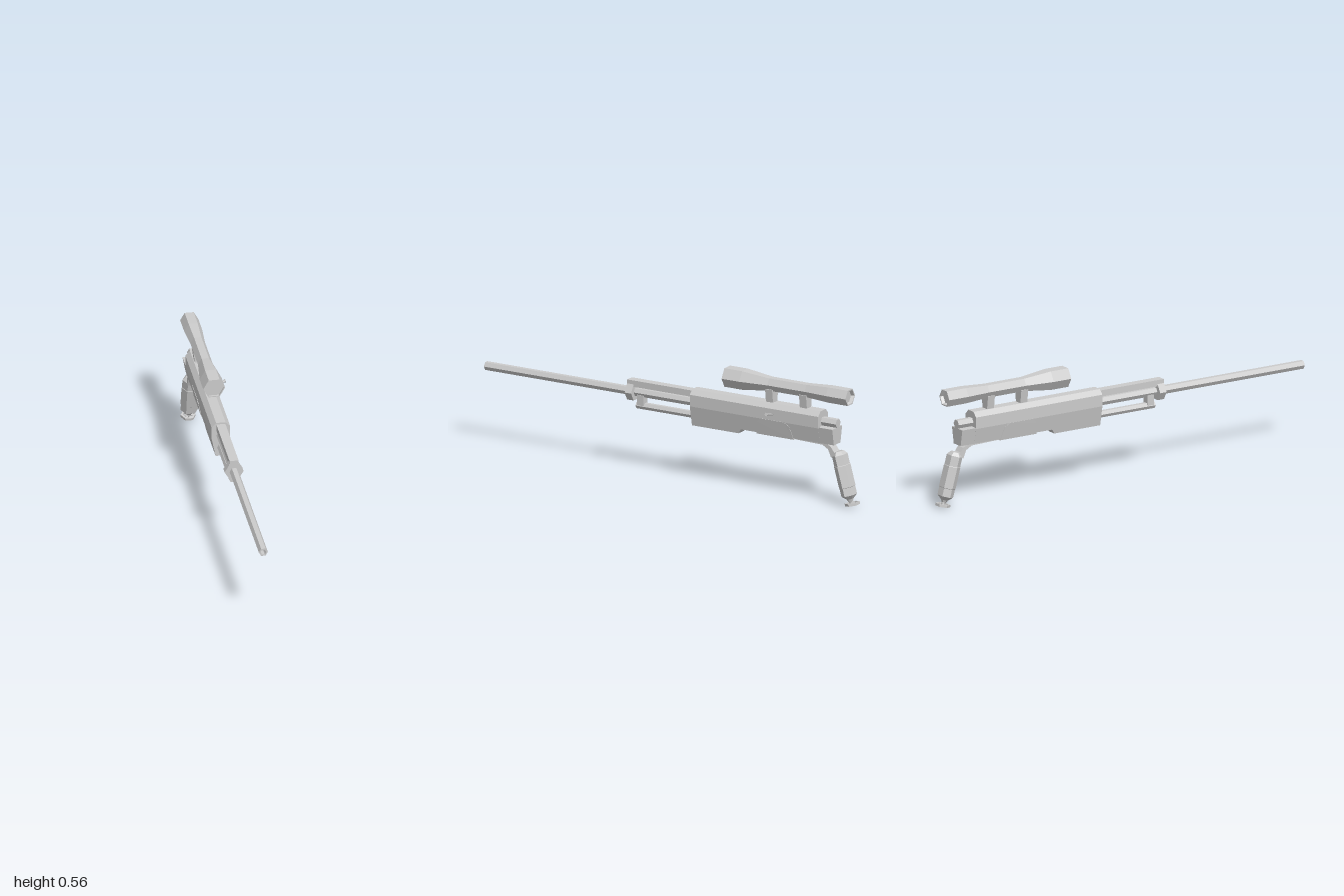
import * as THREE from 'three';

const mat = new THREE.MeshStandardMaterial({ color: 0xcccccc, flatShading: true, side: THREE.DoubleSide });

function add(parent, name, geometry, x = 0, y = 0, z = 0) {
  const mesh = new THREE.Mesh(geometry, mat);
  mesh.name = name;
  mesh.position.set(x, y, z);
  parent.add(mesh);
  return mesh;
}

// Six-sided turned form; profile is [radius, height] from bottom to top, corners on the x axis
function hexLathe(profile) {
  return new THREE.LatheGeometry(profile.map(([r, h]) => new THREE.Vector2(r, h)), 6, Math.PI / 2);
}

// The same, laid along z (heights become z)
const hexAlongZ = (profile) => hexLathe(profile).rotateX(Math.PI / 2);

// Side outline in [z, y], extruded symmetrically across x
function sideExtrude(points, width) {
  const shape = new THREE.Shape(points.map(([z, y]) => new THREE.Vector2(z, y)));
  return new THREE.ExtrudeGeometry(shape, { depth: width, bevelEnabled: false })
    .translate(0, 0, -width / 2).rotateY(-Math.PI / 2);
}

// Skin convex rings (counter-clockwise from the front) listed by increasing z
function loft(sections) {
  const n = sections[0].ring.length;
  const pos = sections.flatMap(({ z, ring }) => ring.flatMap(([x, y]) => [x, y, z]));
  const idx = [];
  for (let i = 0; i < sections.length - 1; i++) {
    for (let j = 0; j < n; j++) {
      const a = i * n + j, b = i * n + (j + 1) % n;
      idx.push(a, b, b + n, a, b + n, a + n);
    }
  }
  const last = (sections.length - 1) * n;
  for (let j = 1; j < n - 1; j++) {
    idx.push(last, last + j, last + j + 1, 0, j + 1, j);
  }
  const g = new THREE.BufferGeometry();
  g.setAttribute('position', new THREE.Float32BufferAttribute(pos, 3));
  g.setIndex(idx);
  const flat = g.toNonIndexed();
  flat.computeVertexNormals();
  return flat;
}

// Half width of the tapering lower body at height y
const lowerHalf = (y) => 0.024 + (Math.min(y, 0.36) - 0.263) * 0.2;

// Mirror a right-hand outline (bottom to top) into a full ring
const mirrorRing = (half) => [...half, ...half.slice().reverse().map(([x, y]) => [-x, y])];

export function createModel() {
  const root = new THREE.Group();
  const rifle = new THREE.Group();
  rifle.name = 'rifle';
  rifle.position.x = -0.026;
  root.add(rifle);

  // Barrel with open muzzle
  add(rifle, 'barrel', hexAlongZ([[0, -0.15], [0.021, -0.15], [0.021, 1], [0.014, 1], [0.014, 0.96], [0, 0.96]]), 0, 0.372, 0);

  // Collar, upper rail, lower tube and its bracket
  add(rifle, 'barrelCollar', hexAlongZ([[0, 0.195], [0.044, 0.195], [0.044, 0.23], [0, 0.23]]), 0, 0.372, 0);
  add(rifle, 'upperRail', new THREE.BoxGeometry(0.042, 0.03, 0.36), 0, 0.414, 0.05);
  add(rifle, 'lowerTube', hexAlongZ([[0, -0.15], [0.017, -0.15], [0.017, 0.188], [0, 0.188]]), 0, 0.31, 0);
  add(rifle, 'tubeBracket', new THREE.BoxGeometry(0.034, 0.05, 0.035), 0, 0.338, 0.162);

  // Receiver: chamfered top, tapering belly, deeper at the front
  const bodyRing = (bottom) => mirrorRing([
    [lowerHalf(bottom), bottom], [0.0435, 0.36], [0.0435, 0.415], [0.022, 0.437],
  ]);
  add(rifle, 'receiver', loft([
    { z: -0.81, ring: bodyRing(0.287) },
    { z: -0.385, ring: bodyRing(0.287) },
    { z: -0.37, ring: bodyRing(0.265) },
    { z: -0.12, ring: bodyRing(0.265) },
  ]));
  const tailRing = mirrorRing([[lowerHalf(0.287), 0.287], [0.0435, 0.365]]);
  add(rifle, 'receiverTail', loft([{ z: -0.885, ring: tailRing }, { z: -0.8, ring: tailRing }]));
  add(rifle, 'boltEnd', hexAlongZ([[0, -0.89], [0.022, -0.89], [0.022, -0.8], [0, -0.8]]), 0, 0.386, 0);

  // Raised side panels that follow the taper of the body
  const panel = sideExtrude([
    [-0.67, 0.281], [-0.47, 0.281], [-0.48, 0.34], [-0.5, 0.361], [-0.625, 0.361], [-0.65, 0.345],
  ], 2);
  const p = panel.attributes.position;
  for (let i = 0; i < p.count; i++) p.setX(i, Math.sign(p.getX(i)) * (lowerHalf(p.getY(i)) + 0.002));
  panel.computeVertexNormals();
  add(rifle, 'sidePanels', panel);

  // Bolt handle, on the left side only
  const handle = new THREE.Group();
  handle.name = 'boltHandle';
  handle.position.set(0.04, 0.388, -0.565);
  handle.rotation.z = -Math.PI / 2 + 0.25;
  add(handle, 'handleRod', new THREE.CylinderGeometry(0.004, 0.004, 0.06, 6), 0, 0.028, 0);
  add(handle, 'handleKnob', new THREE.CylinderGeometry(0.009, 0.006, 0.01, 6), 0, 0.057, 0);
  rifle.add(handle);

  // Scope with recessed lenses at both ends
  add(rifle, 'scope', hexAlongZ([
    [0, -0.94], [0.031, -0.94], [0.036, -0.955], [0.042, -0.955], [0.042, -0.85], [0.034, -0.73],
    [0.034, -0.53], [0.051, -0.39], [0.051, -0.295], [0.046, -0.295], [0.046, -0.305], [0, -0.305],
  ]), 0, 0.52, 0);

  // Flared scope mounts
  for (const z of [-0.533, -0.715]) {
    const mount = new THREE.BoxGeometry(0.036, 0.068, 0.038);
    const m = mount.attributes.position;
    for (let i = 0; i < m.count; i++) if (m.getY(i) > 0) m.setX(i, m.getX(i) * 1.5);
    mount.computeVertexNormals();
    add(rifle, 'scopeMount', mount, 0, 0.465, z);
  }

  // Bent strap joining the body to the grip
  add(rifle, 'gripStrap', sideExtrude([
    [-0.67, 0.29], [-0.67, 0.283], [-0.82, 0.279], [-0.85, 0.262], [-0.866, 0.225],
    [-0.905, 0.235], [-0.88, 0.255], [-0.865, 0.275], [-0.84, 0.29],
  ], 0.046));

  // Raked hexagonal grip with a sleeve and pointed foot
  const grip = new THREE.Group();
  grip.name = 'grip';
  grip.position.set(0, 0.14, -0.926);
  grip.rotation.x = 0.27;
  grip.scale.z = 0.86;
  add(grip, 'gripBody', hexLathe([
    [0, -0.128], [0.008, -0.126], [0.018, -0.108], [0.041, -0.09], [0.041, 0.102], [0.025, 0.119], [0, 0.119],
  ]));
  add(grip, 'gripSleeve', hexLathe([[0.041, -0.052], [0.043, -0.05], [0.043, 0.052], [0.041, 0.054]]));
  rifle.add(grip);

  // Small spoked wheel under the grip
  const wheel = new THREE.Group();
  wheel.name = 'footWheel';
  wheel.position.set(-0.003, 0.0135, -0.965);
  wheel.rotation.x = 0.2;
  add(wheel, 'wheelRim', hexLathe([[0.025, -0.006], [0.035, -0.006], [0.035, 0.006], [0.025, 0.006], [0.025, -0.006]]));
  add(wheel, 'wheelHub', hexLathe([[0, -0.006], [0.01, -0.006], [0.008, 0.014], [0, 0.014]]));
  for (let i = 0; i < 3; i++) {
    add(wheel, 'wheelSpoke', new THREE.BoxGeometry(0.056, 0.007, 0.008)).rotation.y = i * Math.PI / 3;
  }
  rifle.add(wheel);

  return root;
}
